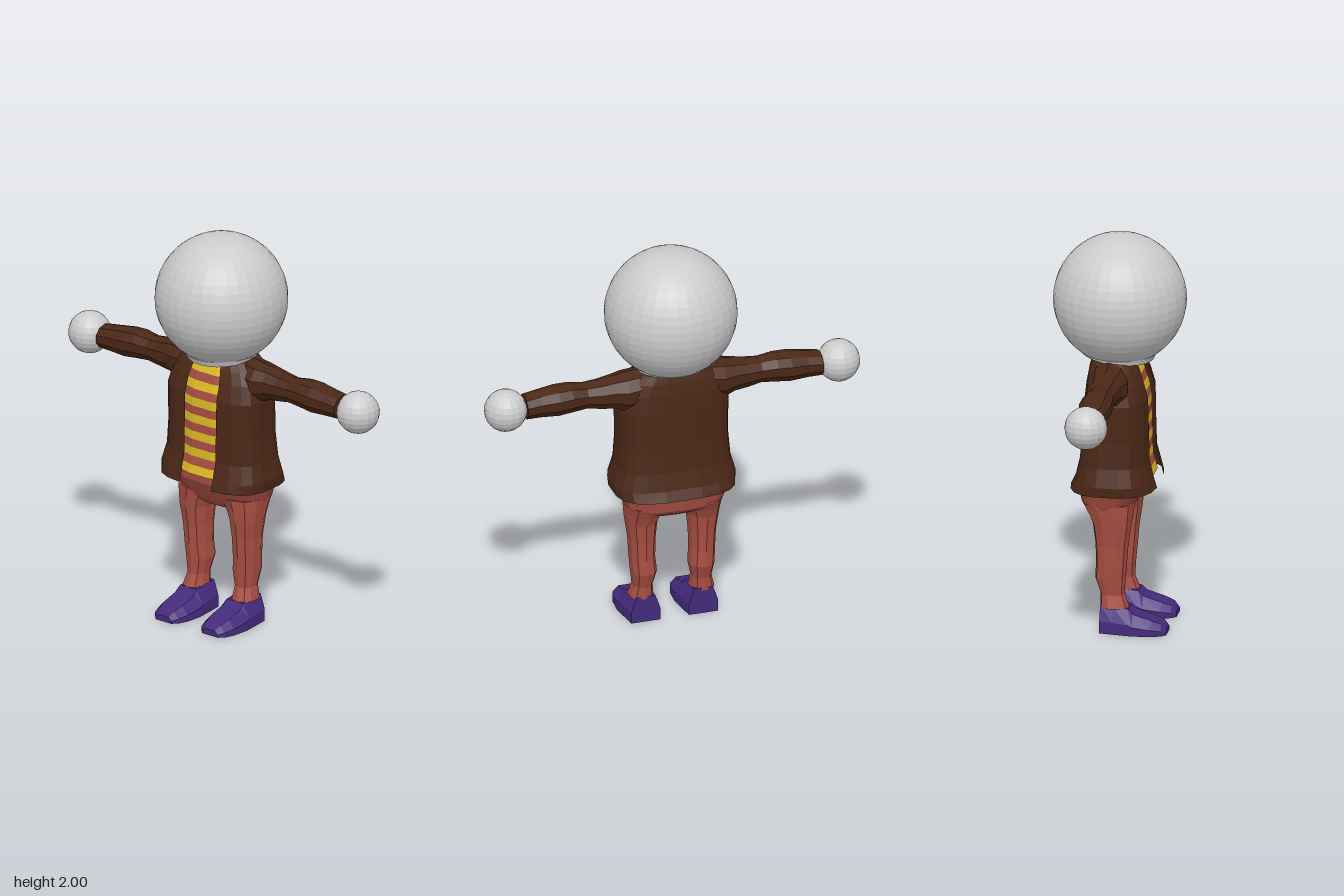
import * as THREE from 'three';

const paint = (color) => new THREE.MeshStandardMaterial({ color, flatShading: true, side: THREE.DoubleSide });

// Rounded-box cross-section at height y; gap leaves an opening at the front.
function section(y, x0, x1, zBack, zFront, n, e, gap = 0) {
  const cx = (x0 + x1) / 2, hx = (x1 - x0) / 2, cz = (zBack + zFront) / 2, hz = (zFront - zBack) / 2;
  const pow = (v) => Math.sign(v) * Math.abs(v) ** e;
  const a0 = gap ? Math.asin((gap / hx) ** (1 / e)) : 0;
  const span = 2 * Math.PI - 2 * a0;
  return Array.from({ length: n }, (_, i) => {
    const a = a0 + (span * i) / (gap ? n - 1 : n);
    return [cx + hx * pow(Math.sin(a)), y, cz + hz * pow(Math.cos(a))];
  });
}

// Skin between successive rings of equal length.
function loft(rings, { closed = true, caps = true } = {}) {
  const n = rings[0].length, pos = rings.flat(2), idx = [];
  for (let i = 0; i < rings.length - 1; i++) {
    for (let j = 0; j < (closed ? n : n - 1); j++) {
      const a = i * n + j, b = i * n + ((j + 1) % n);
      idx.push(a, b, b + n, a, b + n, a + n);
    }
  }
  if (caps && closed) {
    const last = (rings.length - 1) * n;
    for (let j = 1; j < n - 1; j++) idx.push(0, j + 1, j, last, last + j, last + j + 1);
  }
  const g = new THREE.BufferGeometry();
  g.setAttribute('position', new THREE.Float32BufferAttribute(pos, 3));
  g.setIndex(idx);
  g.computeVertexNormals();
  return g;
}

const mirror = (rings) => rings.map((r) => r.map(([x, y, z]) => [-x, y, z]).reverse());

export function createModel() {
  const model = new THREE.Group();
  const grey = paint(0xcccccc), brown = paint(0x4a2716), red = paint(0xa84e42);
  const yellow = paint(0xdfba24), purple = paint(0x452a7c);
  const add = (name, geometry, material, x = 0, y = 0, z = 0) => {
    const m = new THREE.Mesh(geometry, material);
    m.name = name;
    m.position.set(x, y, z);
    model.add(m);
    return m;
  };
  const pair = (name, rings, material) => {
    add('left' + name, loft(rings), material);
    add('right' + name, loft(mirror(rings)), material);
  };

  // Head, neck and hands
  add('head', new THREE.SphereGeometry(0.33, 32, 24), grey, 0, 1.67, 0);
  add('neck', new THREE.CylinderGeometry(0.1, 0.09, 0.14, 16), grey, 0, 1.36, -0.02);
  add('headBase', new THREE.CylinderGeometry(0.19, 0.18, 0.03, 24), grey, 0, 1.395, -0.01).rotation.x = 0.1;
  for (const [name, s] of [['leftHand', 1], ['rightHand', -1]]) {
    add(name, new THREE.SphereGeometry(0.107, 16, 12), grey, s * 0.862, 1.27, -0.02);
  }

  // Jacket body, open down the front: y, half width, back z, front z, half opening
  const jacket = [
    [0.73, 0.31, -0.23, 0.205, 0.1], [0.78, 0.315, -0.205, 0.19, 0.1], [0.87, 0.29, -0.185, 0.168, 0.1],
    [1.0, 0.28, -0.172, 0.165, 0.1], [1.19, 0.285, -0.16, 0.16, 0.1], [1.28, 0.262, -0.15, 0.135, 0.098],
    [1.34, 0.23, -0.14, 0.113, 0.085], [1.38, 0.185, -0.13, 0.09, 0.075], [1.395, 0.15, -0.115, 0.07, 0.07],
  ];
  const body = jacket.map(([y, hx, zb, zf, gap]) => section(y, -hx, hx, zb, zf, 20, 0.65, gap));
  add('jacketBody', loft(body, { closed: false }), brown);

  // Sleeves: x, bottom y, top y, back z, front z
  const sleeve = [
    [0.14, 1.2, 1.395, -0.125, 0.075], [0.25, 1.175, 1.383, -0.125, 0.085], [0.31, 1.2, 1.372, -0.11, 0.065],
    [0.38, 1.208, 1.36, -0.1, 0.055], [0.45, 1.22, 1.352, -0.088, 0.05], [0.53, 1.213, 1.364, -0.1, 0.06],
    [0.6, 1.205, 1.362, -0.103, 0.065], [0.69, 1.21, 1.348, -0.092, 0.056], [0.765, 1.212, 1.335, -0.092, 0.052],
  ].map(([x, y0, y1, z0, z1]) => Array.from({ length: 10 }, (_, i) => {
    const a = (i / 10) * Math.PI * 2;
    return [x, (y0 + y1) / 2 + ((y1 - y0) / 2) * Math.cos(a), (z0 + z1) / 2 + ((z1 - z0) / 2) * Math.sin(a)];
  }));
  pair('Sleeve', sleeve, brown);

  // Striped shirt following the jacket front
  const frontZ = (y) => {
    const i = Math.max(1, jacket.findIndex((r) => r[0] >= y));
    const [a, b] = [jacket[i - 1], jacket[i]];
    return THREE.MathUtils.lerp(a[3], b[3], (y - a[0]) / (b[0] - a[0])) - 0.012;
  };
  const row = (y) => [-0.13, -0.06, 0.06, 0.13].map((x) => [x, y, frontZ(y) - (Math.abs(x) > 0.1 ? 0.02 : 0)]);
  const edges = [0.78];
  for (let i = 0; i < 6; i++) edges.push(0.824 + i * 0.087, 0.867 + i * 0.087);
  edges.push(1.355);
  for (let i = 0; i < edges.length - 1; i++) {
    const strip = loft([row(edges[i]), row(edges[i + 1])], { closed: false });
    add('shirtStripe' + (i + 1), strip, i % 2 ? red : yellow);
  }

  // Trousers: hips, then legs (y, inner x, outer x, back z, front z)
  const hips = [
    [0.59, 0.16, -0.1, 0.05], [0.625, 0.235, -0.155, 0.085], [0.65, 0.25, -0.18, 0.1],
    [0.73, 0.28, -0.195, 0.145], [0.82, 0.26, -0.17, 0.15],
  ].map(([y, hx, zb, zf]) => section(y, -hx, hx, zb, zf, 16, 0.8));
  add('trouserHips', loft(hips), red);
  const leg = [
    [0.125, 0.095, 0.22, -0.07, 0.075], [0.19, 0.102, 0.202, -0.07, 0.05], [0.27, 0.085, 0.213, -0.098, 0.055],
    [0.35, 0.092, 0.218, -0.092, 0.062], [0.45, 0.09, 0.223, -0.095, 0.07], [0.55, 0.08, 0.238, -0.108, 0.085],
    [0.6, 0.06, 0.244, -0.13, 0.092], [0.66, 0.03, 0.25, -0.165, 0.1],
  ].map(([y, x0, x1, z0, z1]) => section(y, x0, x1, z0, z1, 10, 0.85));
  pair('TrouserLeg', leg, red);

  // Shoes, heel to toe: z, half sole width, half top width, height
  const shoe = [
    [-0.065, 0.075, 0.048, 0.138], [0.0, 0.085, 0.052, 0.133], [0.075, 0.095, 0.052, 0.125], [0.1, 0.098, 0.055, 0.1],
    [0.19, 0.092, 0.055, 0.073], [0.24, 0.075, 0.045, 0.055], [0.265, 0.05, 0.03, 0.03],
  ].map(([z, w, t, h]) => [[-w, 0], [w, 0], [w, h * 0.45], [t, h], [-t, h], [-w, h * 0.45]]
    .map(([x, y]) => [0.149 + x, y, z]));
  pair('Shoe', shoe, purple);

  return model;
}
